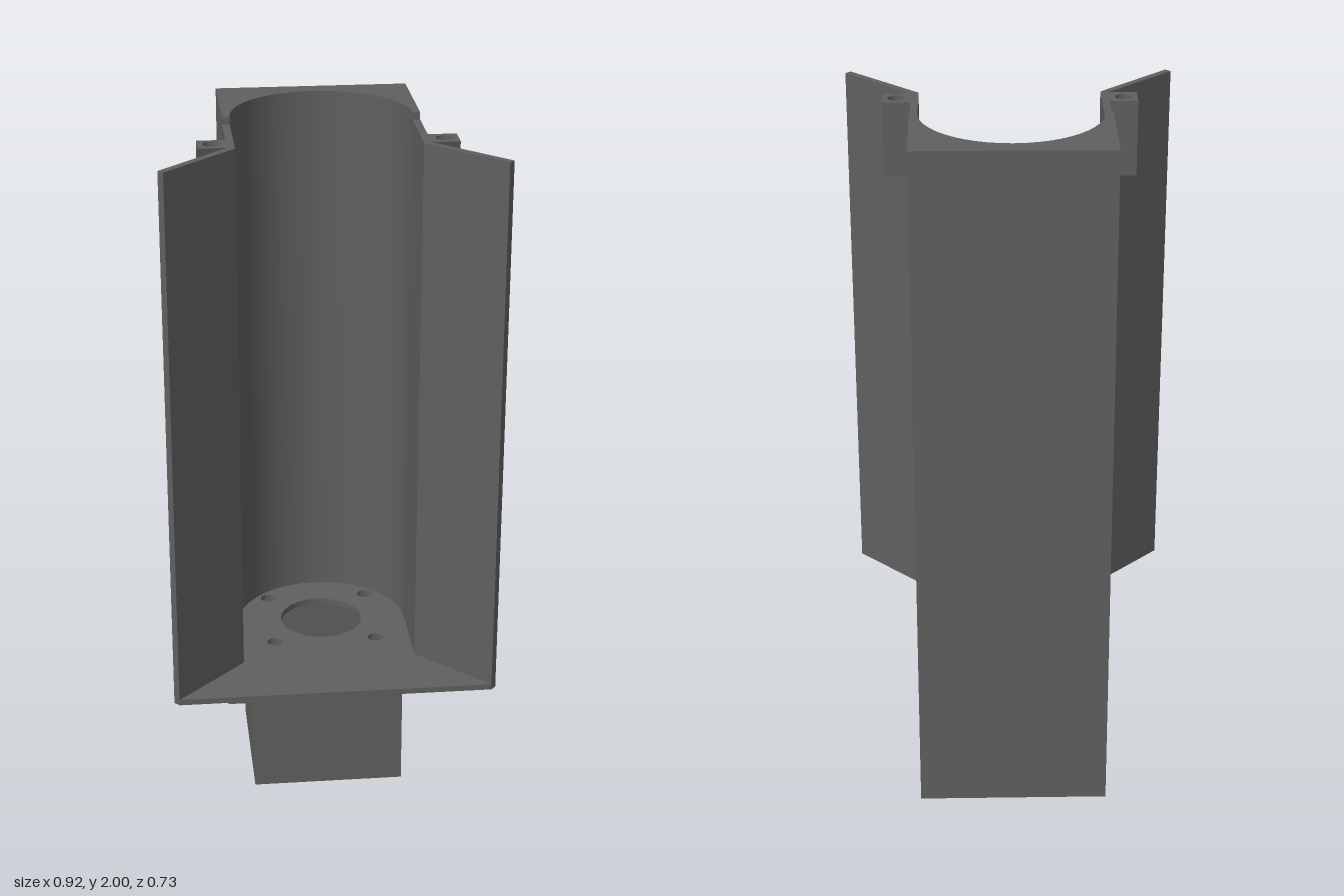
import * as THREE from 'three';
import { toCreasedNormals } from 'three/addons/utils/BufferGeometryUtils.js';

const material = new THREE.MeshStandardMaterial({ color: 0x606060 });

// Shapes are drawn in plan: shape x = model x, shape y = -z
function outline(points) {
  return new THREE.Shape(points.map(([x, z]) => new THREE.Vector2(x, -z)));
}

function addHole(shape, x, z, r) {
  const hole = new THREE.Path();
  hole.absarc(x, -z, r, 0, Math.PI * 2, true);
  shape.holes.push(hole);
}

// Raise a plan shape vertically from y0 to y1
function raise(shape, y0, y1) {
  const g = new THREE.ExtrudeGeometry(shape, { depth: y1 - y0, bevelEnabled: false, curveSegments: 12 });
  g.rotateX(-Math.PI / 2);
  g.translate(0, y0, 0);
  return g;
}

export function createModel() {
  const model = new THREE.Group();
  const add = (name, geometry) => {
    const mesh = new THREE.Mesh(toCreasedNormals(geometry, 0.5), material);
    mesh.name = name;
    model.add(mesh);
  };

  // Round-backed trough with flared front wings
  const wall = new THREE.Shape();
  wall.moveTo(0.445, -0.365);
  wall.lineTo(0.459, -0.35);
  wall.lineTo(0.271, -0.162);
  wall.lineTo(0.271, 0.06);
  wall.absarc(0, 0.06, 0.271, 0, Math.PI, false);
  wall.lineTo(-0.271, -0.162);
  wall.lineTo(-0.459, -0.35);
  wall.lineTo(-0.445, -0.365);
  wall.lineTo(-0.25, -0.17);
  wall.lineTo(-0.25, 0.06);
  wall.absarc(0, 0.06, 0.25, Math.PI, 0, true);
  wall.lineTo(0.25, -0.17);
  add('troughWall', raise(wall, 0.438, 1.98));

  // Floor with a large opening and four screw holes
  const floor = outline([
    [-0.445, 0.365], [0.445, 0.365], [0.459, 0.35], [0.271, 0.162], [0.271, -0.336],
    [-0.271, -0.336], [-0.271, 0.162], [-0.459, 0.35],
  ]);
  addHole(floor, 0, -0.081, 0.121);
  for (const x of [-0.149, 0.149]) for (const z of [-0.22, 0.056]) addHole(floor, x, z, 0.023);
  add('floor', raise(floor, 0.421, 0.438));

  // Top cap bridging trough and back plate
  const cap = new THREE.Shape();
  cap.moveTo(0.25, 0.06);
  cap.lineTo(0.271, 0.06);
  cap.lineTo(0.271, 0.336);
  cap.lineTo(-0.271, 0.336);
  cap.lineTo(-0.271, 0.06);
  cap.lineTo(-0.25, 0.06);
  cap.absarc(0, 0.06, 0.25, Math.PI, 0, true);
  add('topCap', raise(cap, 1.98, 2));

  // Flat back plate over the full height
  const plate = outline([[-0.271, -0.336], [0.271, -0.336], [0.271, -0.365], [-0.271, -0.365]]);
  add('backPlate', raise(plate, 0, 2));

  // Hollow square base, open below, joined to the plate by a pin
  const base = outline([[-0.22, 0.141], [0.22, 0.141], [0.22, -0.299], [-0.22, -0.299]]);
  base.holes.push(outline([[-0.207, 0.128], [-0.207, -0.286], [0.207, -0.286], [0.207, 0.128]]));
  add('base', raise(base, 0, 0.421));
  const pin = new THREE.CylinderGeometry(0.015, 0.015, 0.037, 24);
  pin.rotateX(Math.PI / 2);
  pin.translate(0, 0.056, -0.3175);
  add('basePin', pin);

  // Wedge-shaped ears with a vertical hole; the underside slopes up to the front
  for (const side of [-1, 1]) {
    const cx = side * 0.309;
    const ear = outline([[cx - 0.04, 0.162], [cx + 0.04, 0.162], [cx + 0.04, 0.087], [cx - 0.04, 0.087]]);
    addHole(ear, side * 0.311, 0.123, 0.023);
    const g = raise(ear, 1.765, 1.98);
    const p = g.attributes.position;
    for (let i = 0; i < p.count; i++) {
      if (p.getY(i) < 1.8) p.setY(i, 1.765 + 0.214 * (p.getZ(i) - 0.087) / 0.075);
    }
    add(side > 0 ? 'leftEar' : 'rightEar', g);
  }
  return model;
}
